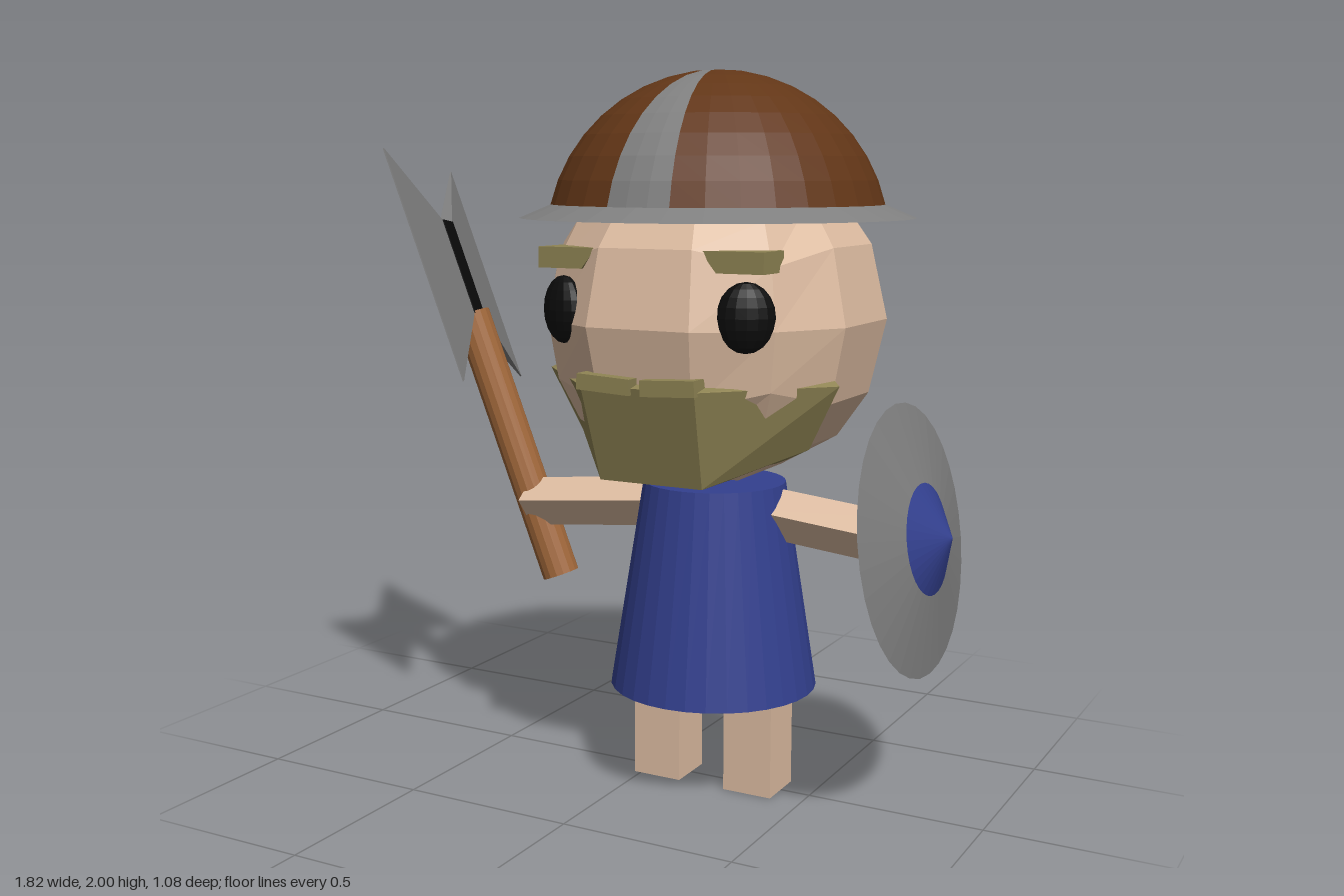
import * as THREE from 'three';

const mat = (color, side = THREE.FrontSide) =>
  new THREE.MeshStandardMaterial({ color, flatShading: true, side });
const skin = mat(0xdebda2), blue = mat(0x33408f), hair = mat(0x8f8454, THREE.DoubleSide);
const metal = mat(0x808080), leather = mat(0x623617), wood = mat(0xa0673a), black = mat(0x0c0c0c);
const CX = 0.197; // centre line of the figure

function add(parent, name, geo, material, x = 0, y = 0, z = 0) {
  const m = new THREE.Mesh(geo, material);
  m.name = name;
  m.position.set(x, y, z);
  parent.add(m);
  return m;
}

// Box whose vertices are pushed out onto a sphere
function cubeSphere(r) {
  const g = new THREE.BoxGeometry(2, 2, 2, 3, 4, 3);
  const p = g.attributes.position, v = new THREE.Vector3();
  for (let i = 0; i < p.count; i++) {
    v.fromBufferAttribute(p, i).setLength(r);
    p.setXYZ(i, v.x, v.y, v.z);
  }
  return g;
}

// Sheet through rows of points; each row runs from -x to +x, rows go top to bottom
function sheet(rows) {
  const n = rows[0].length, index = [];
  for (let i = 0; i < rows.length - 1; i++)
    for (let j = 0; j < n - 1; j++) {
      const a = i * n + j, c = a + n;
      index.push(a, c, a + 1, a + 1, c, c + 1);
    }
  const g = new THREE.BufferGeometry();
  g.setAttribute('position', new THREE.Float32BufferAttribute(rows.flat(2), 3));
  g.setIndex(index);
  g.computeVertexNormals();
  return g;
}

// Axe blade: a wedge, narrow and thick at the block, wide and sharp at the edge
function blade(sign) {
  const g = new THREE.BoxGeometry(1, 1, 1);
  const p = g.attributes.position;
  for (let i = 0; i < p.count; i++) {
    const outer = p.getZ(i) * sign > 0;
    p.setXYZ(i, p.getX(i) * (outer ? 0.004 : 0.045), p.getY(i) * (outer ? 0.695 : 0.29),
      sign * (outer ? 0.325 : 0.045));
  }
  g.computeVertexNormals();
  return g;
}

function buildHead(root) {
  const head = new THREE.Group();
  head.name = 'head';
  head.position.x = CX;
  root.add(head);
  add(head, 'skull', cubeSphere(0.47), skin, 0, 1.335, 0.004);

  // Beard wrapped around the jaw
  const row = (a, b) => [[-a[0], a[1], a[2]], [-b[0], b[1], b[2]], b, a];
  add(head, 'beard', sheet([
    row([0.41, 1.2, 0.14], [0.15, 1.2, 0.38]),
    row([0.435, 1.185, 0.16], [0.165, 1.185, 0.452]),
    row([0.345, 1.01, 0.14], [0.15, 0.925, 0.375]),
    row([0.22, 0.95, 0.0], [0.1, 0.9, 0.08]),
  ]), hair);

  for (const s of [-1, 1]) {
    const eye = add(head, 'eye', new THREE.SphereGeometry(1, 16, 10), black, s * 0.265, 1.37, 0.365);
    eye.scale.set(0.075, 0.09, 0.045);
    eye.rotation.y = s * 0.5;

    const brow = new THREE.Shape([[0.15, 1.535], [0.195, 1.48], [0.325, 1.48], [0.325, 1.535]]
      .map(([x, y]) => new THREE.Vector2(s * x, y)));
    add(head, 'eyebrow', new THREE.ExtrudeGeometry(brow, { depth: 0.12, bevelEnabled: false }),
      hair, 0, 0, 0.273);

    const tache = add(head, 'moustache', new THREE.BoxGeometry(0.155, 0.042, 0.06), hair,
      s * 0.093, 1.192, 0.432);
    tache.rotation.z = s * 0.05;
  }
}

function buildHelmet(root) {
  const helmet = new THREE.Group();
  helmet.name = 'helmet';
  helmet.position.x = CX + 0.003;
  root.add(helmet);
  const half = Math.PI / 16, cap = 1.339;
  // Dome in four sectors: a stripe at front and back, leather between
  for (const s of [0, 1]) {
    const mid = Math.PI / 2 + s * Math.PI;
    add(helmet, 'helmetStripe',
      new THREE.SphereGeometry(0.4675, 2, 9, mid - half, 2 * half, 0, cap), metal, 0, 1.5325, 0);
    add(helmet, 'helmetDome',
      new THREE.SphereGeometry(0.4675, 14, 9, mid + half, Math.PI - 2 * half, 0, cap), leather, 0, 1.5325, 0);
  }
  add(helmet, 'helmetBrim', new THREE.CylinderGeometry(0.45, 0.54, 0.038, 32), metal, 0, 1.624, 0);
}

function buildBody(root) {
  add(root, 'tunic', new THREE.CylinderGeometry(0.2, 0.292, 0.585, 32), blue, CX, 0.5825, 0);
  for (const s of [-1, 1]) {
    add(root, 'leg', new THREE.BoxGeometry(0.145, 0.4, 0.145), skin, CX + s * 0.143, 0.2, 0.002);
    // Arm: square bar turned about its own length and drooping slightly
    const arm = new THREE.Group();
    arm.name = 'arm';
    arm.position.set(CX + s * 0.37, 0.775, -0.01);
    arm.rotation.z = -s * 0.1;
    root.add(arm);
    add(arm, 'armBar', new THREE.BoxGeometry(0.5, 0.1, 0.1), skin).rotation.x = 0.6;
  }
}

function buildAxe(root) {
  const axe = new THREE.Group();
  axe.name = 'axe';
  const up = new THREE.Vector3(-0.36, 0.933, 0.02).normalize();
  const right = up.clone().cross(new THREE.Vector3(0.32, 0.11, 0.94)).normalize();
  const out = right.clone().cross(up);
  axe.applyMatrix4(new THREE.Matrix4().makeBasis(right, up, out));
  axe.position.set(-0.682, 1.435, -0.012);
  root.add(axe);
  add(axe, 'axeHandle', new THREE.CylinderGeometry(0.055, 0.055, 0.83, 16), wood, 0, -0.555, 0);
  add(axe, 'axeBlock', new THREE.BoxGeometry(0.05, 0.295, 0.1), black);
  for (const s of [-1, 1]) add(axe, 'axeBlade', blade(s), metal);
}

function buildShield(root) {
  const shield = new THREE.Group();
  shield.name = 'shield';
  shield.position.set(0.795, 0.775, 0.033);
  shield.quaternion.setFromUnitVectors(new THREE.Vector3(0, 1, 0),
    new THREE.Vector3(0.987, 0.152, 0.02).normalize());
  root.add(shield);
  add(shield, 'shieldDisc', new THREE.ConeGeometry(0.362, 0.07, 32), metal, 0, 0.035, 0);
  add(shield, 'shieldBoss', new THREE.ConeGeometry(0.148, 0.068, 32), blue, 0, 0.076, 0);
}

export function createModel() {
  const root = new THREE.Group();
  root.name = 'axeWarrior';
  buildBody(root);
  buildHead(root);
  buildHelmet(root);
  buildAxe(root);
  buildShield(root);
  return root;
}
